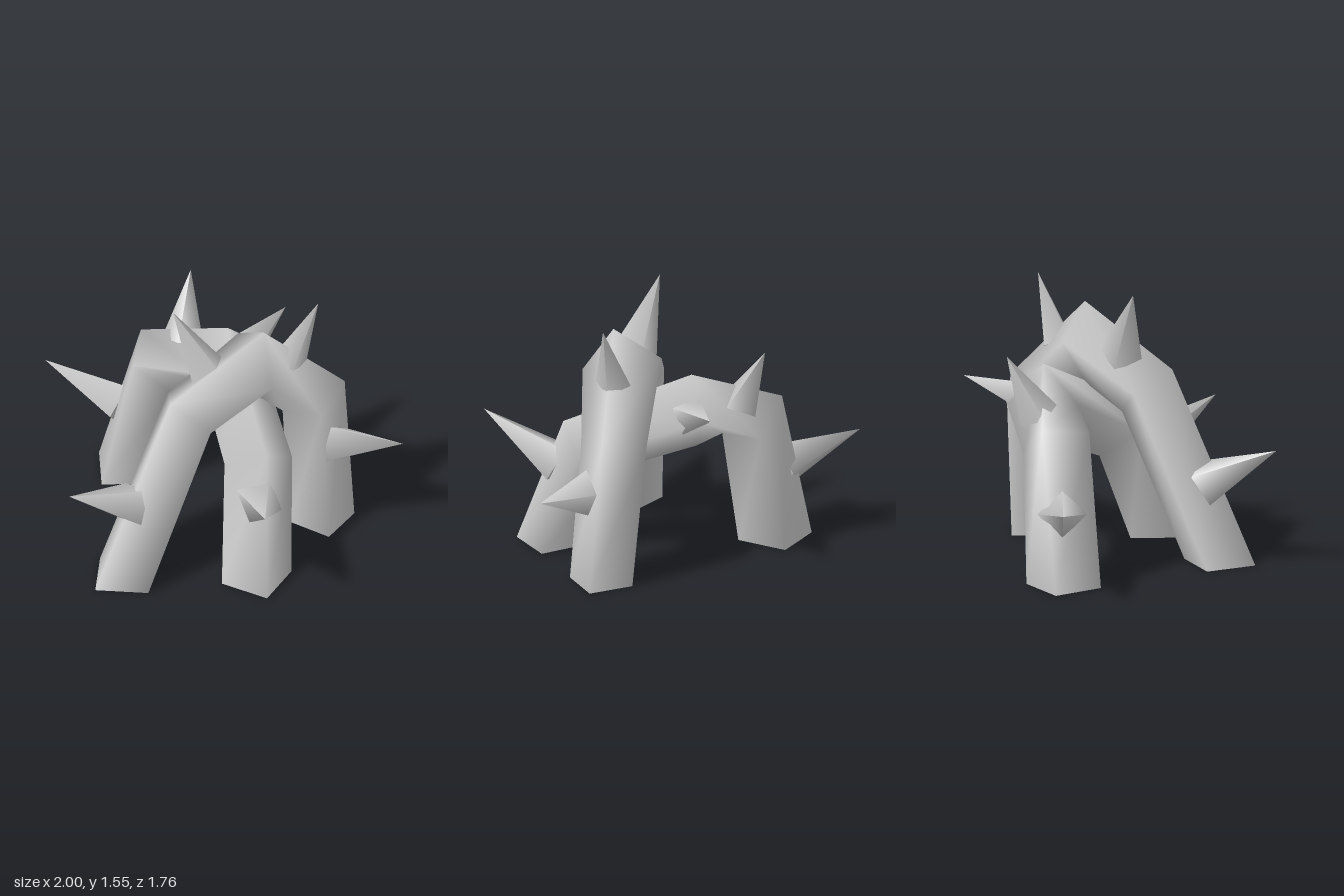
import * as THREE from 'three';

const V = (a) => new THREE.Vector3(a[0], a[1], a[2]);

// Four-sided stem swept along [x, y, z, radius, twist] rings; the feet lie flat on the ground.
// corner is the direction of the first edge, carried along the path.
function stemGeometry(path, corner) {
  const pts = path.map(V), last = pts.length - 1;
  const dir = (i) => pts[i + 1].clone().sub(pts[i]).normalize();
  const pos = [], index = [], u = V(corner).normalize();
  let prev = null;
  pts.forEach((p, i) => {
    const t = i === 0 ? V([0, 1, 0]) : i === last ? V([0, -1, 0]) : dir(i - 1).add(dir(i)).normalize();
    if (prev) u.applyQuaternion(new THREE.Quaternion().setFromUnitVectors(prev, t));
    const w = t.clone().cross(u);
    const [, , , r, twist = 0] = path[i];
    for (let j = 0; j < 4; j++) {
      const a = twist + j * Math.PI / 2;
      const c = p.clone().addScaledVector(u, r * Math.cos(a)).addScaledVector(w, r * Math.sin(a));
      pos.push(c.x, c.y, c.z);
      if (i < last) {
        const k = i * 4 + j, n = i * 4 + (j + 1) % 4;
        index.push(k, n, n + 4, k, n + 4, k + 4);
      }
    }
    prev = t;
  });
  // Separate cap corners keep the foot edges sharp
  const n = pos.length / 3;
  pos.push(...pos.slice(0, 12), ...pos.slice(-12));
  index.push(n, n + 2, n + 1, n, n + 3, n + 2, n + 4, n + 5, n + 6, n + 4, n + 6, n + 7);
  const g = new THREE.BufferGeometry();
  g.setAttribute('position', new THREE.Float32BufferAttribute(pos, 3));
  g.setIndex(index);
  g.computeVertexNormals();
  return g;
}

export function createModel() {
  const model = new THREE.Group();
  const material = new THREE.MeshStandardMaterial({ color: 0xcccccc });

  function addArch(name, path, corner, thorns) {
    const arch = new THREE.Group();
    arch.name = name;
    const stem = new THREE.Mesh(stemGeometry(path, corner), material);
    stem.name = 'stem';
    arch.add(stem);
    // Four-sided thorns: base on the stem, tip, base radius, roll
    for (const [base, tip, radius, roll] of thorns) {
      const from = V(base), to = V(tip), h = from.distanceTo(to);
      const cone = new THREE.ConeGeometry(radius, h, 4).translate(0, h / 2, 0).rotateX(Math.PI / 2);
      const thorn = new THREE.Mesh(cone, material);
      thorn.name = 'thorn';
      thorn.position.copy(from);
      thorn.lookAt(to);
      thorn.rotateZ(roll);
      arch.add(thorn);
    }
    model.add(arch);
  }

  addArch('tallArch', [
    [-0.585, 0, 0.42, 0.213], [-0.21, 0.955, 0.17, 0.2], [0.165, 1.18, -0.01, 0.23],
    [0.5, 0.82, -0.155, 0.195], [0.545, 0, -0.1, 0.188],
  ], [-0.17, 0, 0.135], [
    [[-0.53, 0.46, 0.36], [-0.9, 0.7, 0.6], 0.14, -0.5],
    [[-0.1, 1.15, 0.06], [-0.3, 1.555, 0.02], 0.13, -0.6],
    [[0.36, 1.14, -0.07], [0.525, 1.515, -0.1], 0.105, 0],
    [[0.59, 0.555, -0.06], [1, 0.61, 0.03], 0.14, 0.2],
  ]);

  addArch('lowArch', [
    [0.163, 0, 0.455, 0.205], [0.178, 0.64, 0.205, 0.198], [0.015, 0.925, -0.395, 0.215, 0.15],
    [-0.38, 0.79, -0.54, 0.205, 0.55], [-0.543, 0, -0.593, 0.215, 0.4],
  ], [-0.203, 0, 0.055], [
    [[0.18, 0.49, 0.38], [0.2, 0.73, 0.88], 0.14, -0.45],
    [[0.11, 0.93, -0.43], [0.355, 1.04, -0.7], 0.115, -0.5],
    [[-0.23, 0.92, -0.565], [-0.18, 1.28, -0.745], 0.12, 0],
    [[-0.57, 0.43, -0.62], [-1, 0.555, -0.88], 0.14, 0],
  ]);

  return model;
}
